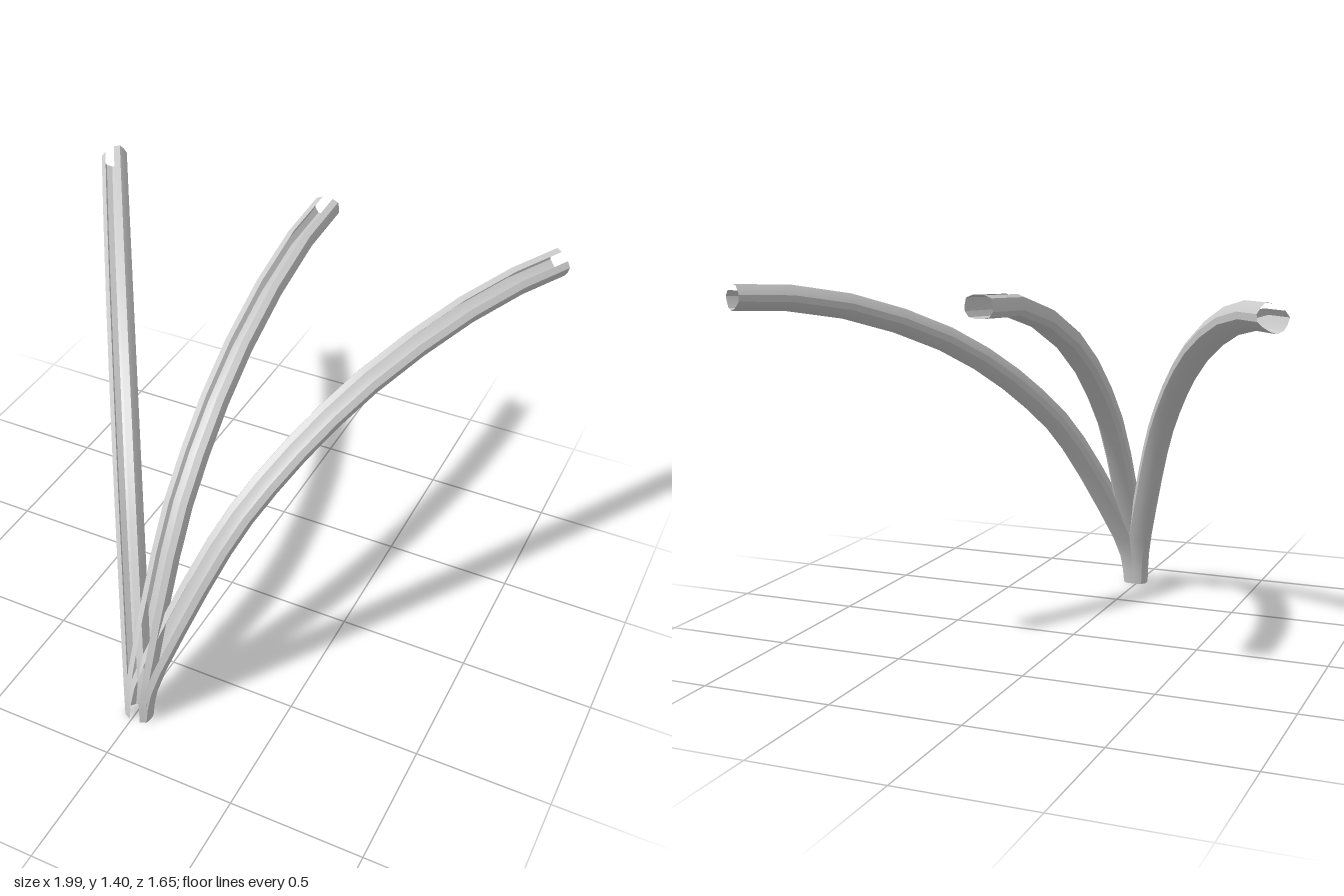
import * as THREE from 'three';
import { toCreasedNormals } from 'three/addons/utils/BufferGeometryUtils.js';

// Centre lines: [z, height]. The side ribs sag a little below the middle one.
const middlePath = [
  [0.785, 0], [0.777, 0.09], [0.75, 0.19], [0.663, 0.386], [0.55, 0.606], [0.446, 0.768],
  [0.318, 0.905], [0.164, 1.037], [-0.026, 1.157], [-0.272, 1.262], [-0.54, 1.331], [-0.798, 1.348],
];
const sidePath = [
  [0.785, 0], [0.774, 0.09], [0.743, 0.192], [0.647, 0.378], [0.527, 0.59], [0.42, 0.748],
  [0.295, 0.881], [0.145, 1.011], [-0.038, 1.134], [-0.278, 1.245], [-0.541, 1.324], [-0.798, 1.348],
];

// Half of the open channel section: [sideways, towards the outer curve]
const half = [[0.021, 0.0385], [0.045, 0.029], [0.05, 0.006], [0.05, -0.015], [0.036, -0.034], [0.015, -0.0385]];
const section = [...half, ...half.slice().reverse().map(([a, b]) => [-a, b])];

const BASE_X = 0.013;

// Sweeps the channel along the path, in a vertical plane turned by angle
function ribGeometry(path, angle, steps) {
  const cos = Math.cos(angle), sin = Math.sin(angle);
  const along = new THREE.Vector3(sin, 0, -cos);
  const side = new THREE.Vector3(cos, 0, sin);
  const up = new THREE.Vector3(0, 1, 0);
  const base = new THREE.Vector3(BASE_X, 0, path[0][0]);
  const curve = new THREE.SplineCurve(path.map(([z, y]) => new THREE.Vector2((path[0][0] - z) / cos, y)));
  const line = curve.getPoints(steps);
  const positions = [], index = [];

  line.forEach((p, i) => {
    // Level cut at the foot, upright cut at the far end
    const t = i === 0 ? new THREE.Vector2(0, 1)
      : i === steps ? new THREE.Vector2(1, 0)
      : line[i + 1].clone().sub(line[i - 1]).normalize();
    const outer = along.clone().multiplyScalar(-t.y).addScaledVector(up, t.x);
    for (const [a, b] of section) {
      // All ribs share one foot facing the front, so turned ribs carry a roll
      const v = base.clone().addScaledVector(along, p.x).addScaledVector(up, p.y)
        .addScaledVector(side, a * cos + b * sin)
        .addScaledVector(outer, b * cos - a * sin);
      positions.push(v.x, v.y, v.z);
    }
  });

  const n = section.length;
  for (let i = 0; i < steps; i++) {
    for (let j = 0; j < n - 1; j++) {
      const a = i * n + j, b = a + 1, c = a + n, d = c + 1;
      index.push(a, b, c, b, d, c);
    }
  }
  const geometry = new THREE.BufferGeometry();
  geometry.setAttribute('position', new THREE.Float32BufferAttribute(positions, 3));
  geometry.setIndex(index);
  return toCreasedNormals(geometry, 0.6);
}

export function createModel() {
  const model = new THREE.Group();
  model.name = 'vaultRibs';
  const material = new THREE.MeshStandardMaterial({ color: 0xcccccc, side: THREE.DoubleSide });

  // Three ribs fanning out from one foot
  const ribs = [
    ['leftRib', sidePath, 0.534, 15],
    ['middleRib', middlePath, 0, 11],
    ['rightRib', sidePath, -0.547, 15],
  ];
  for (const [name, path, angle, steps] of ribs) {
    const rib = new THREE.Mesh(ribGeometry(path, angle, steps), material);
    rib.name = name;
    model.add(rib);
  }
  return model;
}
